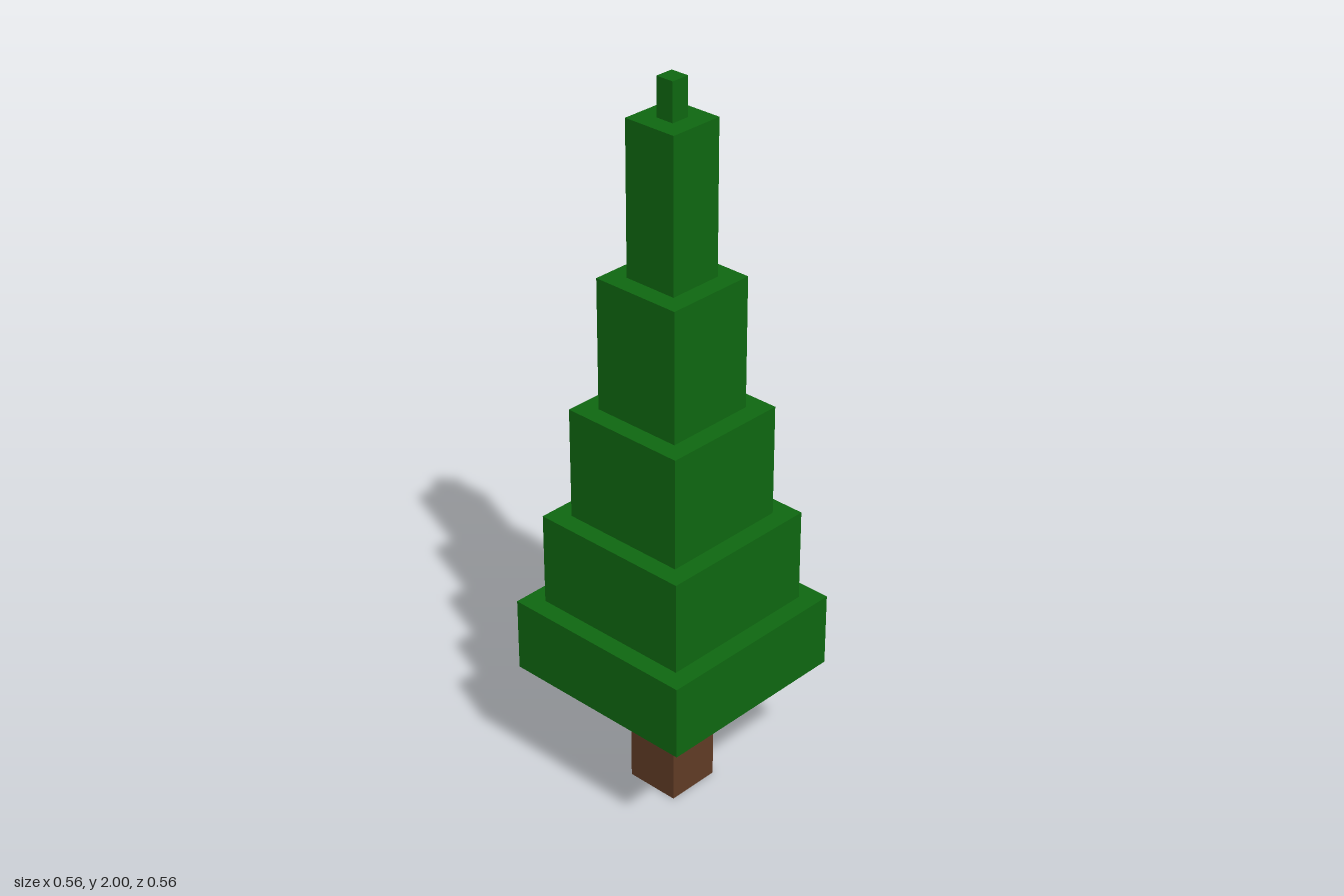
import * as THREE from 'three';

export function createModel() {
  const tree = new THREE.Group();
  tree.name = 'steppedPineTree';

  const foliage = new THREE.MeshStandardMaterial({ color: 0x0f6911 });
  foliage.name = 'foliage green';
  const bark = new THREE.MeshStandardMaterial({ color: 0x613c25 });
  bark.name = 'bark brown';

  // The tree is built on a block grid, 39 blocks tall
  const block = 2 / 39;
  let base = 0;

  // Stacks a square block column on top of the previous one
  function stack(name, width, height, material) {
    const geometry = new THREE.BoxGeometry(width * block, height * block, width * block);
    const mesh = new THREE.Mesh(geometry, material);
    mesh.name = name;
    mesh.position.y = (base + height / 2) * block;
    base += height;
    tree.add(mesh);
  }

  stack('trunk', 3, 7, bark);

  // Foliage tiers: each is two blocks narrower and one block taller
  for (let i = 0; i < 5; i++) stack(`foliageTier${i + 1}`, 11 - 2 * i, 4 + i, foliage);

  stack('treeTip', 1, 2, foliage);

  return tree;
}
